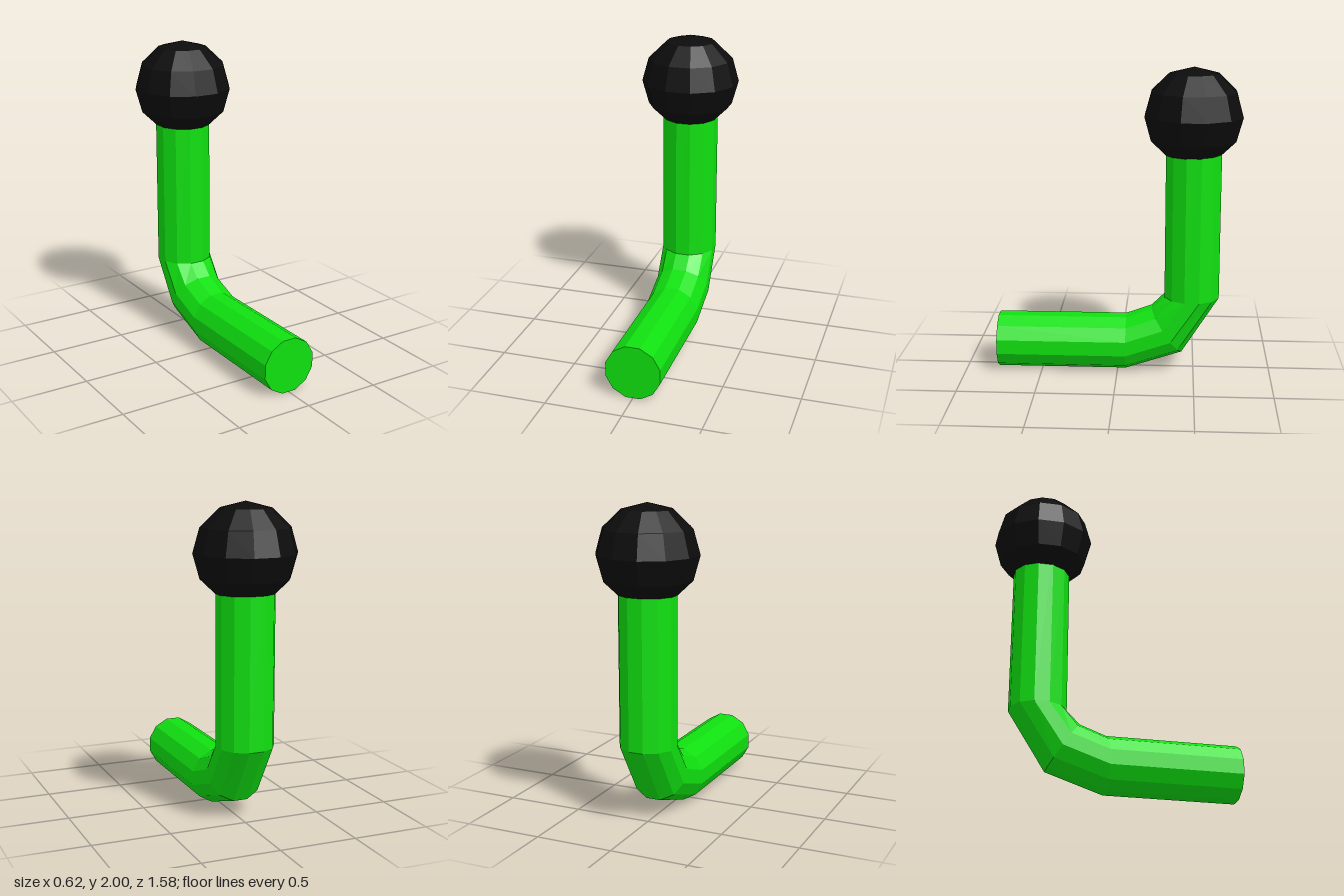
import * as THREE from 'three';

const SIDES = 12;
const TUBE_RADIUS = 0.183;

// Bent tube: each section is [y, z, tilt], tilt being the angle of the ring's
// inner side, from straight up (0) to straight forward (PI / 2)
const SECTIONS = [
  [0.178, 0.79, 0],
  [0.178, -0.055, 0],
  [0.27, -0.322, 0.595],
  [0.5, -0.483, Math.PI / 2],
  [1.6, -0.483, Math.PI / 2],
];

function ringPoint([y, z, tilt], k) {
  const a = ((k + 0.5) / SIDES) * Math.PI * 2;
  const u = TUBE_RADIUS * Math.cos(a);
  const v = TUBE_RADIUS * Math.sin(a);
  return [u, y + v * Math.cos(tilt), z + v * Math.sin(tilt)];
}

function bentTubeGeometry() {
  const pos = [];
  const first = SECTIONS[0];
  const last = SECTIONS[SECTIONS.length - 1];
  for (let k = 0; k < SIDES; k++) {
    // side faces
    for (let i = 0; i < SECTIONS.length - 1; i++) {
      const a = ringPoint(SECTIONS[i], k);
      const b = ringPoint(SECTIONS[i], k + 1);
      const c = ringPoint(SECTIONS[i + 1], k);
      const d = ringPoint(SECTIONS[i + 1], k + 1);
      pos.push(...a, ...c, ...b, ...b, ...c, ...d);
    }
    // end caps
    pos.push(0, first[0], first[1], ...ringPoint(first, k), ...ringPoint(first, k + 1));
    pos.push(0, last[0], last[1], ...ringPoint(last, k + 1), ...ringPoint(last, k));
  }
  const geometry = new THREE.BufferGeometry();
  geometry.setAttribute('position', new THREE.Float32BufferAttribute(pos, 3));
  geometry.computeVertexNormals();
  return geometry;
}

export function createModel() {
  const green = new THREE.MeshStandardMaterial({ name: 'green', color: 0x10e010, flatShading: true });
  const black = new THREE.MeshStandardMaterial({ name: 'black', color: 0x0c0c0c, flatShading: true });
  const model = new THREE.Group();
  model.name = 'bentLever';

  const tube = new THREE.Mesh(bentTubeGeometry(), green);
  tube.name = 'bentTube';
  model.add(tube);

  // Faceted knob, turned so flat sides face the axes
  const knob = new THREE.Mesh(new THREE.SphereGeometry(0.32, SIDES, 6), black);
  knob.name = 'knob';
  knob.scale.y = 0.308 / 0.32;
  knob.rotation.y = Math.PI / SIDES;
  knob.position.set(0, 1.692, -0.478);
  model.add(knob);

  return model;
}
